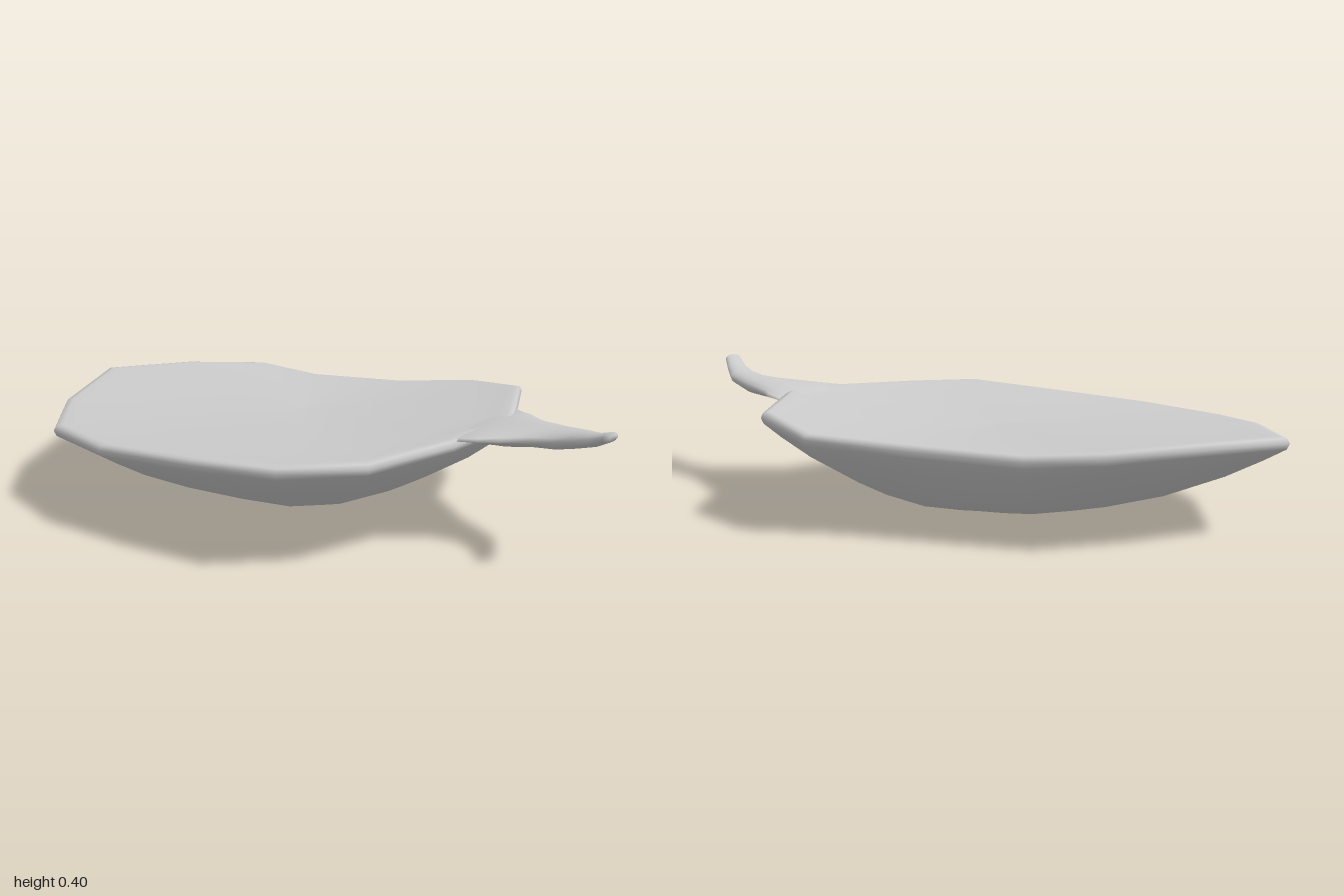
import * as THREE from 'three';

// Skin a list of closed rings (arrays of [x, y, z]) with smooth normals.
function loft(rings, material, name) {
  const n = rings[0].length;
  const index = [];
  for (let j = 0; j < rings.length - 1; j++) {
    for (let i = 0; i < n; i++) {
      const k = (i + 1) % n;
      const a = j * n + i, b = j * n + k, c = (j + 1) * n + k, d = (j + 1) * n + i;
      index.push(a, d, c, a, c, b);
    }
  }
  const geometry = new THREE.BufferGeometry();
  geometry.setAttribute('position', new THREE.Float32BufferAttribute(rings.flat(2), 3));
  geometry.setIndex(index);
  geometry.computeVertexNormals();
  const mesh = new THREE.Mesh(geometry, material);
  mesh.name = name;
  return mesh;
}

export function createModel() {
  const group = new THREE.Group();
  group.name = 'cappedStalk';
  const material = new THREE.MeshStandardMaterial({ color: 0xcccccc });

  // Uneven rim corners, clockwise from the left tip: x, y, z
  const rim = [
    [-1, 0.282, -0.1], [-0.82, 0.285, -0.33], [-0.62, 0.275, -0.51], [-0.4, 0.254, -0.535],
    [-0.07, 0.266, -0.57], [0.2, 0.288, -0.64], [0.42, 0.32, -0.52], [0.54, 0.325, -0.24],
    [0.6, 0.328, -0.1], [0.58, 0.325, 0.08], [0.56, 0.318, 0.18], [0.46, 0.304, 0.46],
    [0.28, 0.302, 0.625], [0, 0.282, 0.635], [-0.36, 0.26, 0.615], [-0.66, 0.248, 0.5],
    [-0.84, 0.262, 0.27],
  ];
  const cx = -0.12, cz = -0.07, topY = 0.258;

  // A ring at fraction t of the way out, at a height given by the rim height
  const ring = (t, height) => rim.map(([x, y, z]) => [cx + (x - cx) * t, height(y), cz + (z - cz) * t]);
  const under = (t) => ring(t, (y) => (y - 0.028) * Math.pow(t, 2.12));
  const over = (t) => ring(t, (y) => THREE.MathUtils.lerp(topY, y, Math.pow(t, 1.5)));

  // Rounded underside, soft lip, then a slightly dished top
  const steps = [0, 0.2, 0.4, 0.6, 0.8, 0.92];
  group.add(loft([
    ...steps.map(under),
    ring(0.99, (y) => y - 0.034),
    ring(1, (y) => y - 0.017),
    ring(0.99, (y) => y - 0.003),
    ring(0.965, (y) => y),
    ...steps.slice().reverse().map(over),
  ], material, 'cap'));

  // Flared stalk sections: x, y, z, half width, height above, depth below, keel sharpness
  const sections = [
    [0.44, 0.285, -0.01, 0, 0, 0, 1], [0.44, 0.285, -0.01, 0.13, 0.01, 0.03, 1],
    [0.55, 0.313, -0.035, 0.205, 0.012, 0.055, 1], [0.61, 0.315, -0.025, 0.178, 0.018, 0.053, 1],
    [0.66, 0.316, -0.015, 0.135, 0.025, 0.045, 0.8], [0.72, 0.319, -0.01, 0.095, 0.028, 0.036, 0.4],
    [0.79, 0.325, 0.004, 0.068, 0.028, 0.032, 0], [0.87, 0.34, 0.04, 0.048, 0.024, 0.025, 0],
    [0.93, 0.36, 0.09, 0.036, 0.017, 0.02, 0], [0.988, 0.388, 0.147, 0.028, 0.014, 0.014, 0],
    [0.988, 0.388, 0.147, 0, 0, 0, 0],
  ];
  const sides = 16;
  const stalk = sections.map(([x, y, z, w, up, down, keel], j) => {
    const slant = j > 6 ? 0.35 : 0; // the tip is cut square to its bend
    return Array.from({ length: sides }, (_, i) => {
      const a = (i / sides) * Math.PI * 2;
      const s = Math.sin(a), c = Math.cos(a);
      const dy = c > 0 ? c * up : THREE.MathUtils.lerp(c, Math.abs(s) - 1, keel) * down;
      return [x + s * w * slant, y + dy, z - s * w];
    });
  });
  group.add(loft(stalk, material, 'stalk'));

  return group;
}
